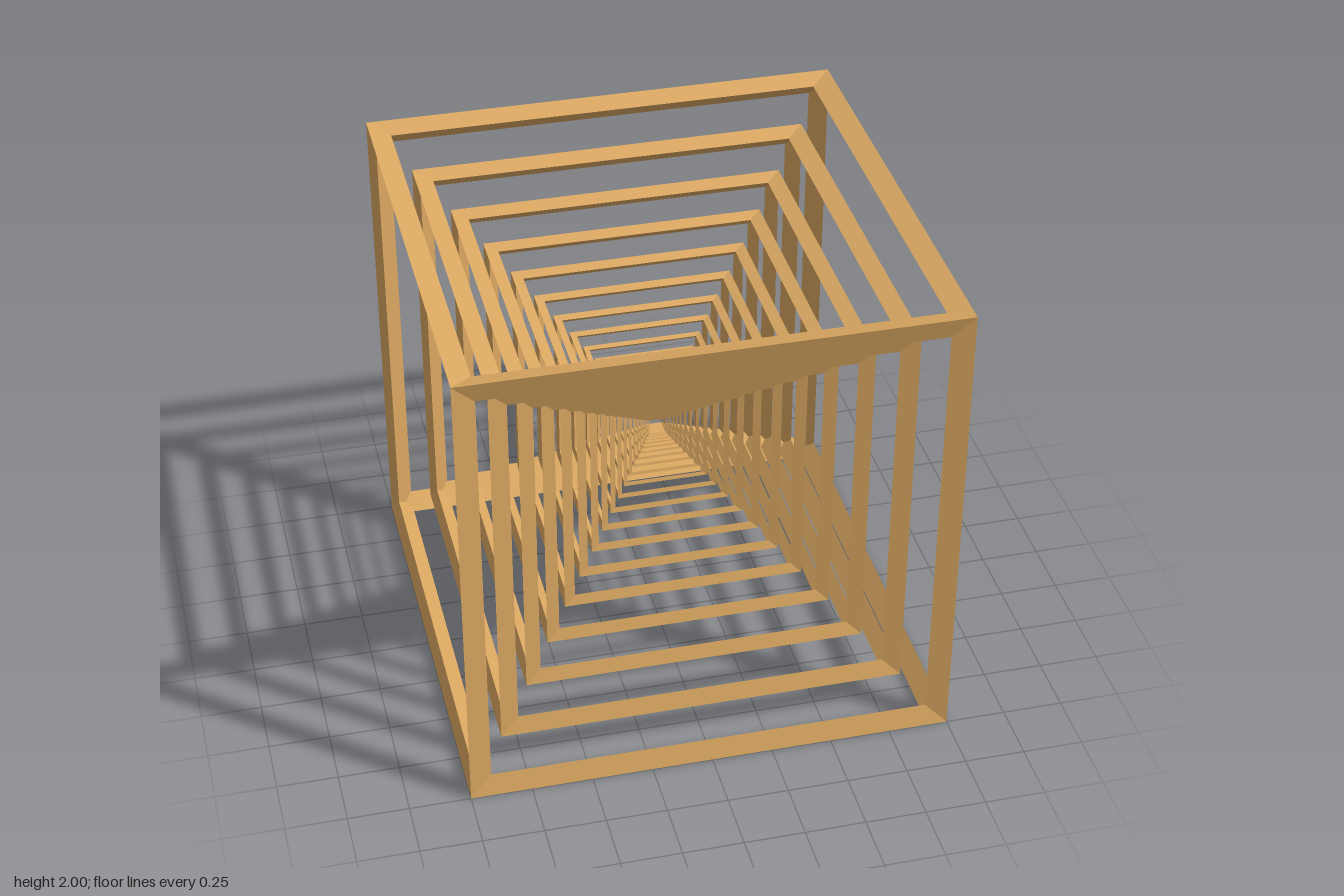
import * as THREE from 'three';
import { mergeGeometries } from 'three/addons/utils/BufferGeometryUtils.js';

const WIDTH = 0.09;                                   // bar width seen square-on
const DEPTH = WIDTH * Math.tan(Math.PI / 12);         // gives an equilateral triangular section
const FRAMES = 20;
const SHRINK = Math.pow(2, -1 / 4);                   // size ratio of one frame to the next

// One mitred triangular bar along the top front edge of a cube of half-size 1
function barGeometry() {
  const i = 1 - WIDTH, d = 1 - DEPTH, m = (i + d) / 2;
  const end = (s) => ({
    outer: [s, 1, 1],
    front: [s * i, i, d],
    top: [s * i, d, i],
    mitre: [s * m, m, m],
  });
  const a = end(-1), b = end(1);
  const faces = [
    [a.outer, a.front, b.front, b.outer],                       // front slope
    [a.outer, b.outer, b.top, a.top],                           // top slope
    [a.front, a.mitre, a.top, b.top, b.mitre, b.front],         // inner face
  ];
  const positions = [];
  for (const f of faces) {
    for (let k = 1; k < f.length - 1; k++) positions.push(...f[0], ...f[k], ...f[k + 1]);
  }
  const geometry = new THREE.BufferGeometry();
  geometry.setAttribute('position', new THREE.Float32BufferAttribute(positions, 3));
  geometry.computeVertexNormals();
  return geometry;
}

// Twelve bars: four around each axis
function frameGeometry() {
  const bars = [];
  for (let k = 0; k < 4; k++) {
    const bar = () => barGeometry().rotateX((k * Math.PI) / 2);
    bars.push(bar(), bar().rotateZ(Math.PI / 2), bar().rotateY(Math.PI / 2));
  }
  return mergeGeometries(bars);
}

export function createModel() {
  const model = new THREE.Group();
  model.name = 'nestedCubeFrames';
  const material = new THREE.MeshStandardMaterial({ color: 0xdba862, flatShading: true });
  const geometry = frameGeometry();

  // Concentric frames shrinking toward the centre
  for (let n = 0; n < FRAMES; n++) {
    const frame = new THREE.Mesh(geometry, material);
    frame.name = `cubeFrame${n + 1}`;
    frame.scale.setScalar(Math.pow(SHRINK, n));
    frame.position.y = 1;
    model.add(frame);
  }
  return model;
}
